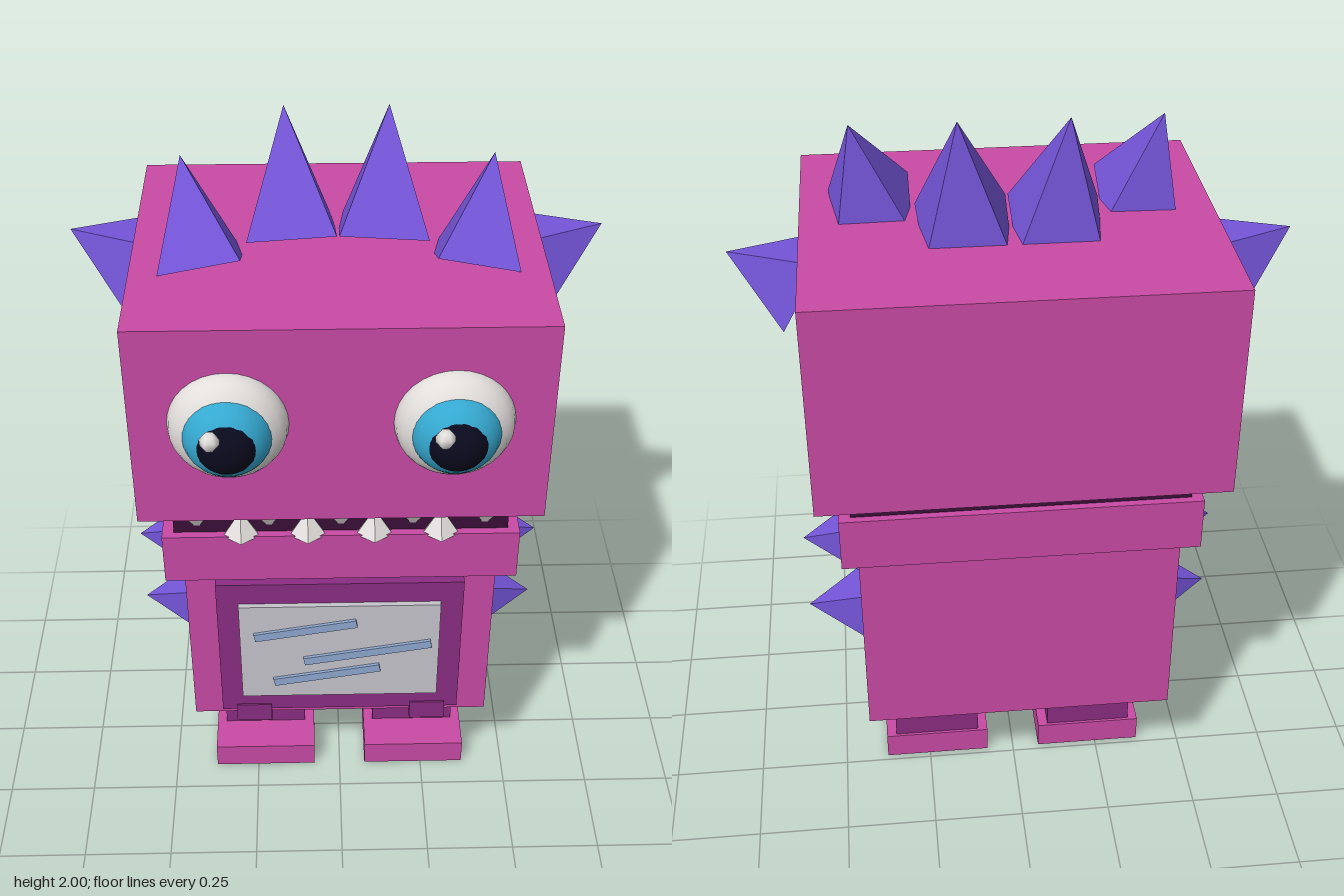
import * as THREE from 'three';
import { ConvexGeometry } from 'three/addons/geometries/ConvexGeometry.js';

export function createModel() {
  const model = new THREE.Group();
  const mat = (name, color) => {
    const m = new THREE.MeshStandardMaterial({ color });
    m.name = name;
    return m;
  };
  const pink = mat('pink', 0xc84aa5);
  const plum = mat('plum', 0x8a2d82);
  const violet = mat('violet', 0x7455d8);
  const mouthDark = mat('mouth dark', 0x3a0f38);
  const white = mat('white', 0xe2dedc);
  const blue = mat('iris blue', 0x35a8d0);
  const black = mat('pupil black', 0x0a0a1e);
  const grey = mat('screen grey', 0xc6c5cc);
  const glare = mat('glare blue', 0x8fa8d0);

  const add = (name, geometry, material, x = 0, y = 0, z = 0) => {
    const mesh = new THREE.Mesh(geometry, material);
    mesh.name = name;
    mesh.position.set(x, y, z);
    model.add(mesh);
    return mesh;
  };
  // box given by its limits on each axis
  const box = (name, material, x0, x1, y0, y1, z0, z1) =>
    add(name, new THREE.BoxGeometry(x1 - x0, y1 - y0, z1 - z0), material,
      (x0 + x1) / 2, (y0 + y1) / 2, (z0 + z1) / 2);
  // spike from an apex and four base corners, mirrored by side
  const spike = (name, side, points) =>
    add(name, new ConvexGeometry(points.map(([x, y, z]) => new THREE.Vector3(side * x, y, z))), violet);

  // head, mouth, jaw and body
  box('head', pink, -0.518, 0.518, 1.128, 1.694, -0.518, 0.347);
  box('mouth', mouthDark, -0.433, 0.433, 1.05, 1.14, -0.44, 0.31);
  box('jaw', pink, -0.463, 0.463, 0.913, 1.06, -0.46, 0.332);
  box('body', pink, -0.421, 0.421, 0.325, 0.913, -0.412, 0.246);

  // framed screen with glare strips
  box('screenFrame', plum, -0.338, 0.334, 0.38, 0.855, 0.24, 0.29);
  box('screen', grey, -0.278, 0.272, 0.447, 0.787, 0.28, 0.305);
  for (const [x, y, length] of [[-0.097, 0.703, 0.285], [0.074, 0.617, 0.357], [-0.039, 0.533, 0.3]]) {
    add('screenGlare', new THREE.BoxGeometry(length, 0.026, 0.009), glare, x, y, 0.309).rotation.z = 0.17;
  }

  for (const side of [-1, 1]) {
    // leg, foot and screen bracket
    const leg = side * 0.227;
    box('leg', plum, leg - 0.122, leg + 0.122, 0.07, 0.335, -0.225, 0.055);
    box('foot', pink, leg - 0.15, leg + 0.15, 0, 0.078, -0.233, 0.163);
    const clip = side * 0.248;
    box('screenBracket', plum, clip - 0.05, clip + 0.05, 0.337, 0.4, 0.24, 0.295);

    // eye: stacked flattened balls with a small catchlight
    const eyeX = side * 0.275;
    const ball = (name, material, r, depth, z) =>
      add(name, new THREE.SphereGeometry(r, 24, 16), material, eyeX, 1.428, z).scale.z = depth / r;
    ball('eyeball', white, 0.148, 0.09, 0.347);
    ball('iris', blue, 0.112, 0.095, 0.382);
    ball('pupil', black, 0.08, 0.067, 0.423);
    add('catchlight', new THREE.SphereGeometry(0.025, 6, 5), white, eyeX - 0.036, 1.478, 0.487);

    // crest spikes, leaning back with the front edge lifted
    spike('outerCrestSpike', side, [
      [0.383, 1.94, -0.06],
      [0.445, 1.7, 0.105], [0.24, 1.74, 0.105], [0.24, 1.66, -0.085], [0.425, 1.66, -0.09],
    ]);
    spike('innerCrestSpike', side, [
      [0.132, 2.0, -0.212],
      [0.23, 1.715, -0.03], [0.003, 1.73, -0.03], [0.006, 1.66, -0.242], [0.215, 1.66, -0.242],
    ]);

    // ear spike
    spike('earSpike', side, [
      [0.69, 1.68, -0.178],
      [0.565, 1.5, -0.088], [0.565, 1.5, -0.264], [0.468, 1.675, -0.264], [0.468, 1.675, -0.088],
    ]);

    // body spikes
    for (const y of [0.73, 0.487]) {
      spike('bodySpike', side, [
        [0.578, y, -0.084],
        [0.418, y - 0.077, -0.008], [0.418, y + 0.077, -0.008],
        [0.418, y + 0.077, -0.16], [0.418, y - 0.077, -0.16],
      ]);
    }
  }

  // teeth: five hang down, four stand up between them
  const tooth = (name, x, y, z, flip) => {
    const g = new THREE.ConeGeometry(0.05, 0.072, 5).toNonIndexed();
    g.computeVertexNormals();
    add(name, g, white, x, y, z).rotation.x = flip ? Math.PI : 0;
  };
  for (let i = -2; i <= 2; i++) tooth('upperTooth', i * 0.186, 1.1, 0.3, true);
  for (let i = -1.5; i <= 1.5; i++) tooth('lowerTooth', i * 0.172, 1.091, 0.308, false);

  return model;
}
